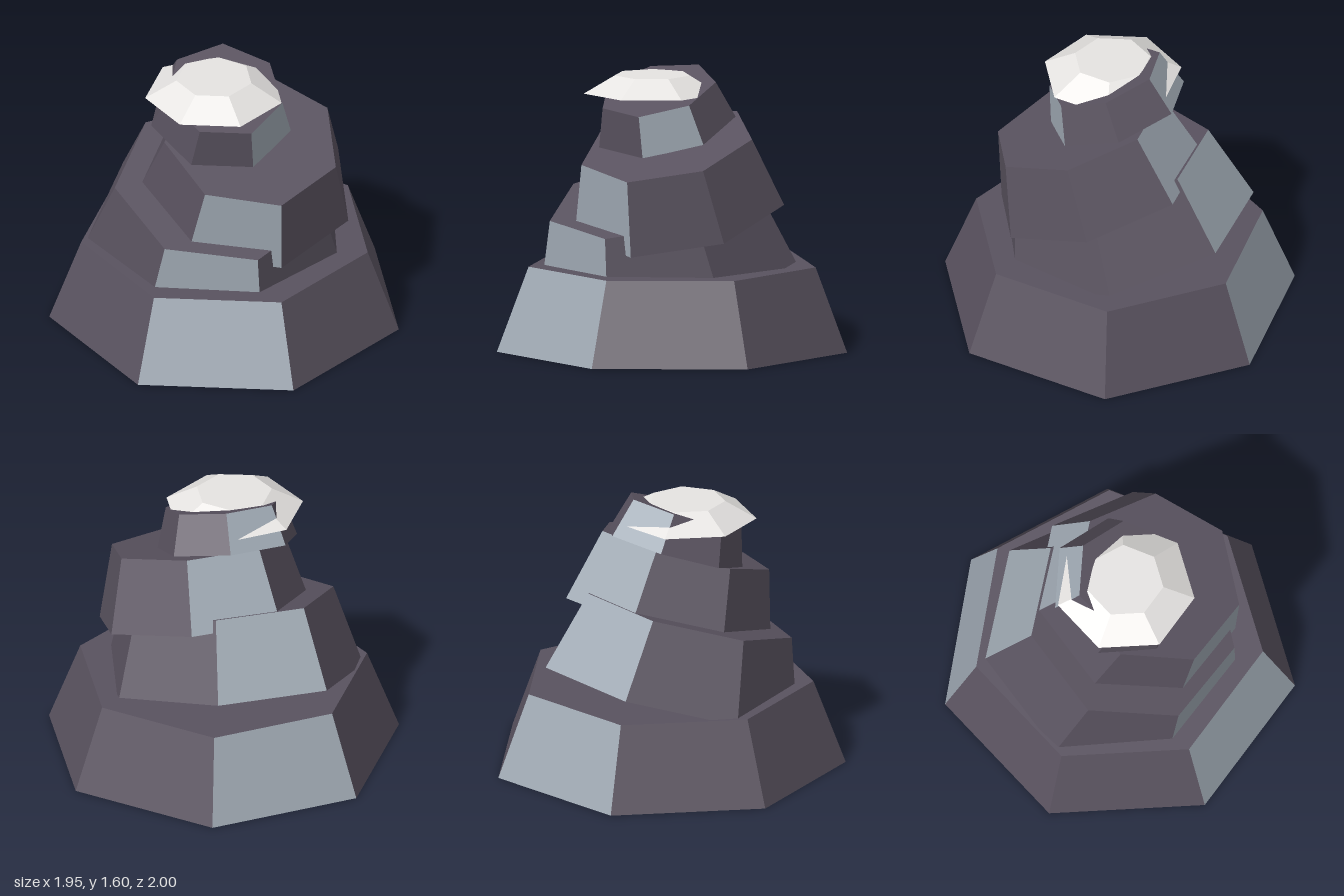
import * as THREE from 'three';

const SIDES = 7;

function material(name, color) {
  const m = new THREE.MeshStandardMaterial({ color });
  m.name = name;
  return m;
}

// Faceted seven-sided frustum: top centre, up axis, direction of the first corner.
// Side faces listed in paleFaces use the second material.
function slab(name, { top, up, corner, rTop, rBottom, height, paleFaces = [] }, materials) {
  const geo = new THREE.CylinderGeometry(rTop, rBottom, height, SIDES);
  geo.translate(0, -height / 2, 0);
  geo.clearGroups();
  for (let i = 0; i < SIDES; i++) geo.addGroup(i * 6, 6, paleFaces.includes(i) ? 1 : 0);
  geo.addGroup(SIDES * 6, SIDES * 6, 0); // both caps

  const y = new THREE.Vector3(...up).normalize();
  const x = new THREE.Vector3().crossVectors(y, new THREE.Vector3(...corner)).normalize();
  const z = new THREE.Vector3().crossVectors(x, y);
  geo.applyMatrix4(new THREE.Matrix4().makeBasis(x, y, z).setPosition(...top));

  const flat = geo.toNonIndexed();
  flat.computeVertexNormals();
  const mesh = new THREE.Mesh(flat, materials);
  mesh.name = name;
  return mesh;
}

export function createModel() {
  const darkRock = material('dark rock', 0x59525f);
  const paleRock = material('pale rock', 0xa0aab4);
  const snow = material('snow', 0xe6e4e2);
  const rock = [darkRock, paleRock];
  const model = new THREE.Group();
  model.name = 'rockStack';

  // Level base, then three leaning boulders getting smaller
  model.add(
    slab('baseRock', {
      top: [-0.05, 0.485, 0], up: [0, 1, 0], corner: [-0.2225, 0, 0.975],
      rTop: 0.84, rBottom: 1.025, height: 0.485, paleFaces: [0, 4],
    }, rock),
    slab('lowerRock', {
      top: [-0.042, 0.877, 0.119], up: [0.133, 0.957, 0.256], corner: [-0.168, -0.132, 0.581],
      rTop: 0.617, rBottom: 0.762, height: 0.466, paleFaces: [0, 4],
    }, rock),
    slab('middleRock', {
      top: [0.139, 1.198, 0.121], up: [0.172, 0.947, 0.269], corner: [-0.139, -0.113, 0.473],
      rTop: 0.507, rBottom: 0.622, height: 0.421, paleFaces: [0, 4],
    }, rock),
    slab('upperRock', {
      top: [-0.034, 1.487, 0.102], up: [0.182, 0.937, 0.296], corner: [0.672, -0.338, 0.658],
      rTop: 0.34, rBottom: 0.41, height: 0.231, paleFaces: [0, 3],
    }, rock),
  );

  // Thin level snow cap
  model.add(slab('snowCap', {
    top: [-0.09, 1.57, 0.11], up: [0, 1, 0], corner: [-0.2225, 0, 0.975],
    rTop: 0.22, rBottom: 0.4, height: 0.1,
  }, [snow]));

  return model;
}
